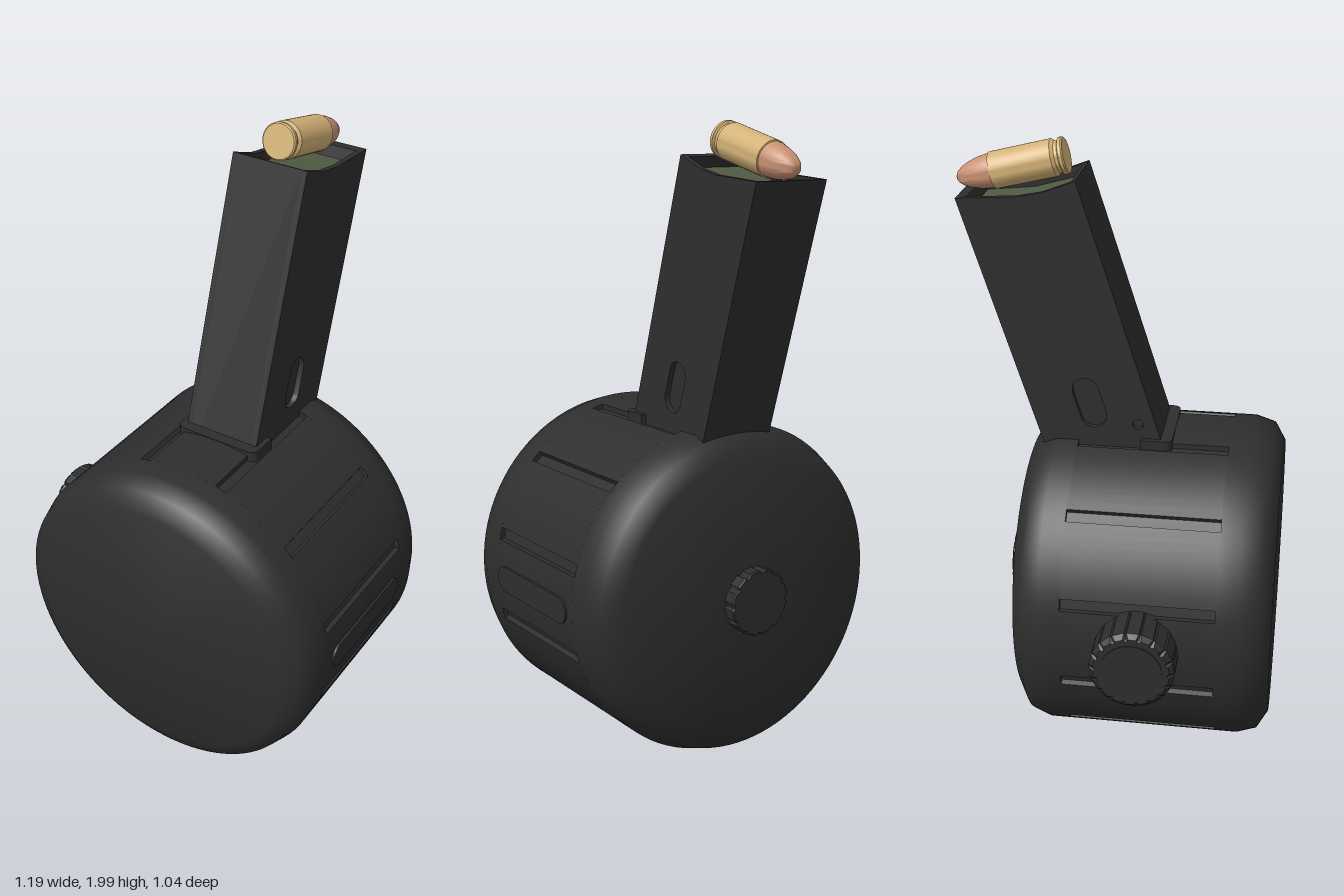
import * as THREE from 'three';
import { toCreasedNormals } from 'three/addons/utils/BufferGeometryUtils.js';

const CX = 0.05, CY = 0.54, R = 0.535;

const mat = (name, color) => {
  const m = new THREE.MeshStandardMaterial({ color });
  m.name = name;
  return m;
};

export function createModel() {
  const polymer = mat('black polymer', 0x2e2e2e);
  const green = mat('follower green', 0x4f5a43);
  const brass = mat('brass', 0xd4b277);
  const copper = mat('copper', 0xca9275);

  const root = new THREE.Group();
  root.name = 'drumMagazine';
  const add = (name, geo, material, parent = root) => {
    const m = new THREE.Mesh(geo, material);
    m.name = name;
    parent.add(m);
    return m;
  };
  const v2 = (a) => a.map(([x, y]) => new THREE.Vector2(x, y));
  const lathe = (pts, crease = 0.75, seg = 96) =>
    toCreasedNormals(new THREE.LatheGeometry(v2(pts), seg), crease);

  // --- Drum: two rounded end shells and a grooved band between them
  const drum = new THREE.Group();
  drum.name = 'drum';
  drum.position.set(CX, CY, 0);
  root.add(drum);
  const Z0 = -0.13, Z1 = 0.35;
  add('drumFrontShell', lathe([[0, Z1], [R, Z1], [R, 0.42], [0.515, 0.485], [0.457, 0.52], [0, 0.52]])
    .rotateX(Math.PI / 2), polymer, drum);
  add('drumBackShell', lathe([[0, -0.33], [0.17, -0.33], [0.45, -0.295], [0.512, -0.26], [R, -0.2], [R, Z0], [0, Z0]])
    .rotateX(Math.PI / 2), polymer, drum);

  const band = [], half = 0.037, step = Math.PI / 6;
  const polar = (r, a) => [r * Math.cos(a), r * Math.sin(a)];
  for (let k = 0; k < 12; k++) {
    const c = step * (k + 0.5);
    band.push(polar(R - 0.016, c - half * 0.8), polar(R - 0.016, c + half * 0.8));
    for (let i = 0; i <= 8; i++) band.push(polar(R, c + half + (step - 2 * half) * i / 8));
  }
  const bandGeo = new THREE.ExtrudeGeometry(new THREE.Shape(v2(band)), { depth: Z1 - Z0, bevelEnabled: false });
  add('groovedBand', toCreasedNormals(bandGeo.translate(0, 0, Z0), 0.4), polymer, drum);

  // --- Fluted knobs
  const knob = (r, depth, lobes, bevel) => {
    const pts = [];
    for (let i = 0; i < lobes; i++) {
      [[0, 0.94], [0.15, 1], [0.7, 1], [0.85, 0.94]].forEach(([t, s]) =>
        pts.push(polar((r - bevel) * s, (i + t) / lobes * Math.PI * 2)));
    }
    return toCreasedNormals(new THREE.ExtrudeGeometry(new THREE.Shape(v2(pts)), {
      depth: depth - 2 * bevel, bevelThickness: bevel, bevelSize: bevel, bevelSegments: 1,
    }).translate(0, 0, bevel), 0.3);
  };
  const backKnob = add('backKnob', knob(0.107, 0.06, 12, 0.004), polymer);
  backKnob.rotation.y = Math.PI;
  backKnob.position.set(CX, CY, -0.312);

  const windingKnob = new THREE.Group();
  windingKnob.name = 'windingKnob';
  windingKnob.rotation.y = -Math.PI / 2;
  windingKnob.position.set(-0.44, CY, 0.11);
  root.add(windingKnob);
  add('knobBody', knob(0.131, 0.152, 18, 0.014), polymer, windingKnob);
  add('knobCap', new THREE.CylinderGeometry(0.095, 0.095, 0.01, 32).rotateX(Math.PI / 2)
    .translate(0, 0, 0.15), polymer, windingKnob);

  // --- Side profiles: drawn as (-z, y) and extruded along x
  const profile = (pts, x, width, holes = []) => {
    const s = new THREE.Shape(v2(pts));
    s.holes.push(...holes);
    return toCreasedNormals(new THREE.ExtrudeGeometry(s, { depth: width, bevelEnabled: false })
      .rotateY(Math.PI / 2).translate(x, 0, 0), 0.5);
  };
  // Points of a slot with round ends
  const capsule = (p, y, halfLen, r, tilt) => {
    const pts = [];
    for (let i = 0; i < 24; i++) {
      const a = (i + 0.5) / 24 * Math.PI * 2;
      const u = Math.cos(a) * r + Math.sign(Math.cos(a)) * halfLen, w = Math.sin(a) * r;
      pts.push([p + u * Math.cos(tilt) - w * Math.sin(tilt), y + u * Math.sin(tilt) + w * Math.cos(tilt)]);
    }
    return pts;
  };
  const hole = (...a) => new THREE.Path(v2(capsule(...a)));

  // Raised panel on the left of the drum
  add('sidePanel', profile(capsule(-0.115, CY, 0.175, 0.042, 0), 0.575, 0.016), polymer);

  // --- Slanted feed tower: front and rear edge at height y
  const front = (y, inset = 0) => [-0.135 + (y - 1.07) * 0.32 + inset, y];
  const rear = (y, inset = 0) => [0.25 + (y - 1.06) * 0.32 - inset, y];
  const tower = new THREE.Group();
  tower.name = 'feedTower';
  root.add(tower);
  const B = 0.95, X0 = -0.078, X1 = 0.178, T = 0.018, tilt = Math.PI / 2 - 0.31;
  const sidePts = [front(B), rear(B), rear(1.834), [0.31, 1.846], [0.233, 1.861], front(1.9)];
  const slot = () => hole(0.095, 1.19, 0.043, 0.042, tilt);
  add('leftWall', profile(sidePts, X1 - T, T, [slot()]), polymer, tower);
  add('rightWall', profile(sidePts, X0, T, [slot(), hole(-0.06, 1.125, 0, 0.018, 0)]), polymer, tower);
  const inX = X0 + T, inW = X1 - X0 - 2 * T;
  add('frontWall', profile([front(B), front(B, 0.018), front(1.893, 0.018), front(1.9)], inX, inW), polymer, tower);
  add('rearWall', profile([rear(B, 0.03), rear(B), rear(1.834), rear(1.834, 0.03)], inX, inW), polymer, tower);
  add('towerCore', profile([front(B, 0.01), rear(B, 0.01), rear(1.7, 0.01), front(1.7, 0.01)],
    inX + 0.001, inW - 0.002), polymer, tower);
  add('follower', profile([front(1.69, 0.02), rear(1.69, 0.034), rear(1.8, 0.034), [0.3, 1.815], front(1.86, 0.02)],
    inX + 0.002, inW - 0.004), green, tower);

  // Collar where the tower meets the drum
  const collar = new THREE.Shape(), cw = 0.145, cr = 0.03;
  collar.moveTo(-cw, -0.07);
  collar.lineTo(cw, -0.07);
  collar.lineTo(cw, -0.17 + cr);
  collar.quadraticCurveTo(cw, -0.17, cw - cr, -0.17);
  collar.lineTo(-cw + cr, -0.17);
  collar.quadraticCurveTo(-cw, -0.17, -cw, -0.17 + cr);
  collar.closePath();
  add('towerCollar', toCreasedNormals(new THREE.ExtrudeGeometry(collar, { depth: 0.08, bevelEnabled: false }), 0.6)
    .rotateX(-Math.PI / 2).translate(CX, 0.997, 0), polymer);

  // --- Cartridge lying on the follower
  const cartridge = new THREE.Group();
  cartridge.name = 'cartridge';
  cartridge.position.set(CX, 1.945, -0.178);
  cartridge.rotation.x = -(Math.PI / 2 + 0.235);
  root.add(cartridge);
  add('case', lathe([[0, 0], [0.053, 0], [0.057, 0.004], [0.057, 0.014], [0.05, 0.018], [0.05, 0.028],
    [0.058, 0.038], [0.057, 0.235], [0.05, 0.237]], 0.4, 40), brass, cartridge);
  add('bulletTip', lathe([[0.053, 0.225], [0.053, 0.245], [0.049, 0.275], [0.041, 0.305], [0.03, 0.33],
    [0.018, 0.345], [0.008, 0.351], [0, 0.352]], 0.8, 40), copper, cartridge);

  return root;
}
